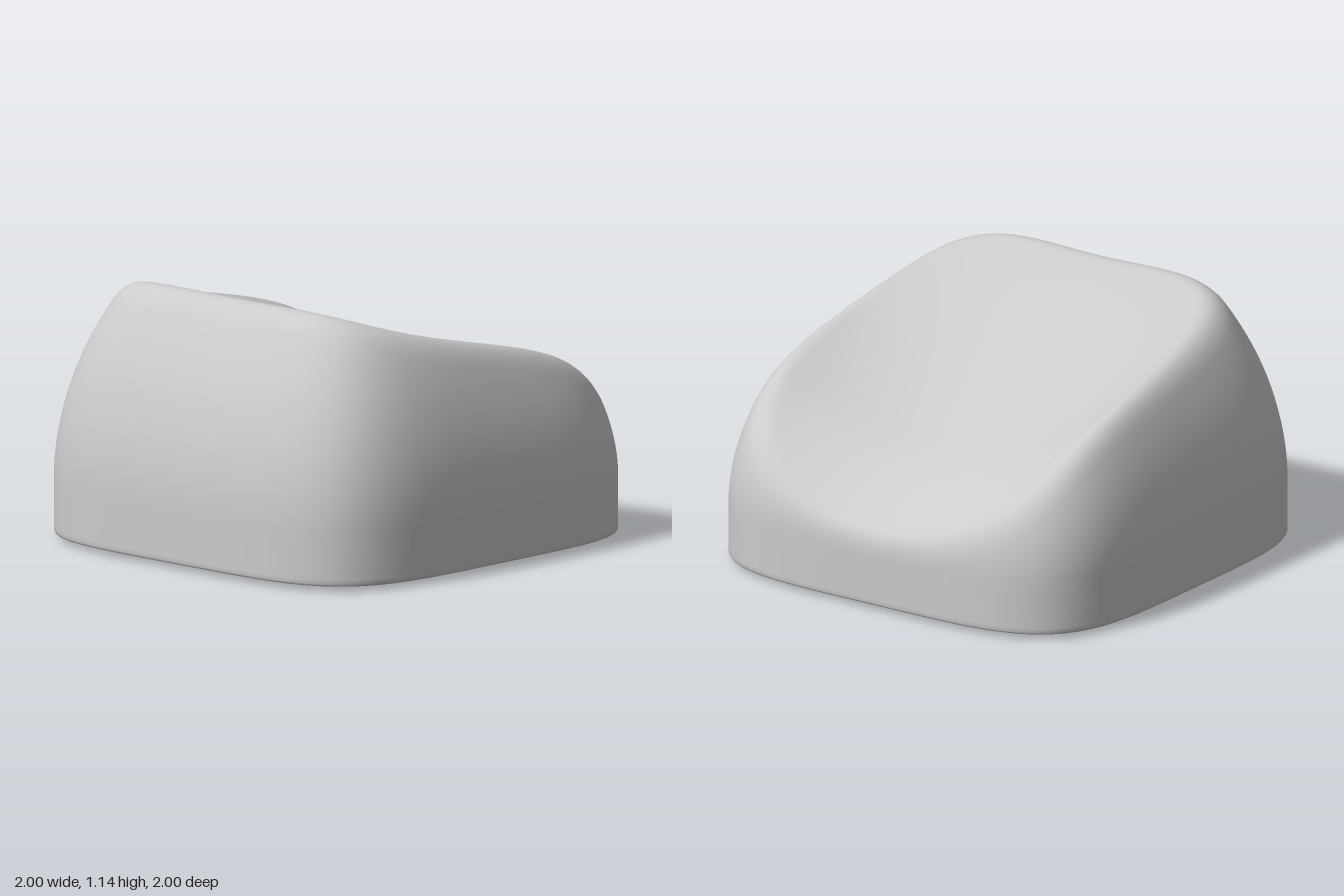
import * as THREE from 'three';

const SEG = 144;      // points around each ring
const POWER = 4.4;    // squareness of the rounded-square outline
const SHOULDER = 0.25; // height where the straight skirt ends

// Smooth minimum: rounds the edge where two surfaces meet
function smoothMin(a, b, k) {
  const h = Math.max(0, k - Math.abs(a - b));
  return Math.min(a, b) - (h * h) / (4 * k);
}

// Outer height: a sloping top, scooped deeper towards the back, cut by curved leaning walls
function topHeight(x, z, r) {
  const t = THREE.MathUtils.smoothstep(0.6 - z, 0, 1.2);
  const scoop = 0.18 * t * (1 - (x / 0.72) ** 2);
  const backRoll = 0.3 * Math.max(0, -z - 0.5) ** 2;
  const top = 0.945 + 0.262 * z + 0.1 * z ** 3 - scoop - backRoll;
  const sideways = (x * x) / (x * x + z * z);
  const steepness = 1.45 + 0.22 * z + 0.22 * sideways;
  const wall = SHOULDER + steepness * Math.sqrt(Math.max(0, 1 - r));
  return smoothMin(top, wall, 0.12 + 0.02 * t);
}

const ceiling = (x, z) => 0.42 + 0.08 * z;

// Skin a list of rings [r, height(x, z, r)] into one smooth closed surface
function skin(rings) {
  const pos = [], index = [];
  rings.forEach(([r, height], i) => {
    for (let j = 0; j < SEG; j++) {
      const a = (j / SEG) * Math.PI * 2, c = Math.cos(a), s = Math.sin(a);
      const rho = r / Math.pow(Math.abs(c) ** POWER + Math.abs(s) ** POWER, 1 / POWER);
      const x = c * rho, z = s * rho;
      pos.push(x, height(x, z, r), z);
      if (i === rings.length - 1) continue;
      const p = i * SEG + j, q = i * SEG + ((j + 1) % SEG);
      index.push(p, p + SEG, q, p + SEG, q + SEG, q);
    }
  });
  const geo = new THREE.BufferGeometry();
  geo.setAttribute('position', new THREE.Float32BufferAttribute(pos, 3));
  geo.setIndex(index);
  geo.computeVertexNormals();
  return geo;
}

export function createModel() {
  const group = new THREE.Group();
  const mat = new THREE.MeshStandardMaterial({ color: 0xcccccc });
  const add = (name, geo) => {
    const mesh = new THREE.Mesh(geo, mat);
    mesh.name = name;
    group.add(mesh);
  };
  const flat = (y) => () => y;

  // Hollow cap: ceiling, inner wall, bottom rim, skirt, then the sculpted top
  const rings = [
    [0.001, ceiling], [0.4, ceiling], [0.8, ceiling], [0.83, ceiling],
    [0.845, (x, z) => ceiling(x, z) - 0.015],
    [0.85, (x, z) => ceiling(x, z) - 0.04],
    [0.89, flat(0.2)], [0.92, flat(0.06)], [0.925, flat(0.035)],
    [0.935, flat(0.022)], [0.945, flat(0.02)],
    [0.985, flat(0.02)], [0.995, flat(0.023)], [1, flat(0.032)],
    [1, flat(0.05)], [1, flat(0.15)], [1, flat(SHOULDER - 0.01)],
  ];
  const ROWS = 72;
  for (let k = 1; k <= ROWS; k++) {
    rings.push([Math.max(0.001, 1 - (k / ROWS) ** 2), topHeight]);
  }
  add('cap', skin(rings));

  // Round stem: chamfered sleeve around a core with a cross-shaped socket
  const HEIGHT = 0.43, CORE = 0.275;
  const sleeve = [[CORE, 0], [0.29, 0.012], [0.29, 0.012], [0.305, 0.035], [0.305, 0.035], [0.305, HEIGHT]];
  add('stemSleeve', new THREE.LatheGeometry(sleeve.map(([x, y]) => new THREE.Vector2(x, y)), 64));

  const core = new THREE.Shape().absarc(0, 0, CORE, 0, Math.PI * 2);
  const L = 0.228, W = 0.065;
  const quarter = [[L, -W], [L, W], [W, W]];
  const cross = [];
  for (let q = 0; q < 4; q++) {
    const c = Math.round(Math.cos(q * Math.PI / 2)), s = Math.round(Math.sin(q * Math.PI / 2));
    quarter.forEach(([x, y]) => cross.push(new THREE.Vector2(x * c - y * s, x * s + y * c)));
  }
  core.holes.push(new THREE.Path(cross));
  const coreGeo = new THREE.ExtrudeGeometry(core, { depth: HEIGHT, curveSegments: 64, bevelEnabled: false });
  add('stemSocket', coreGeo.rotateX(-Math.PI / 2));

  return group;
}
